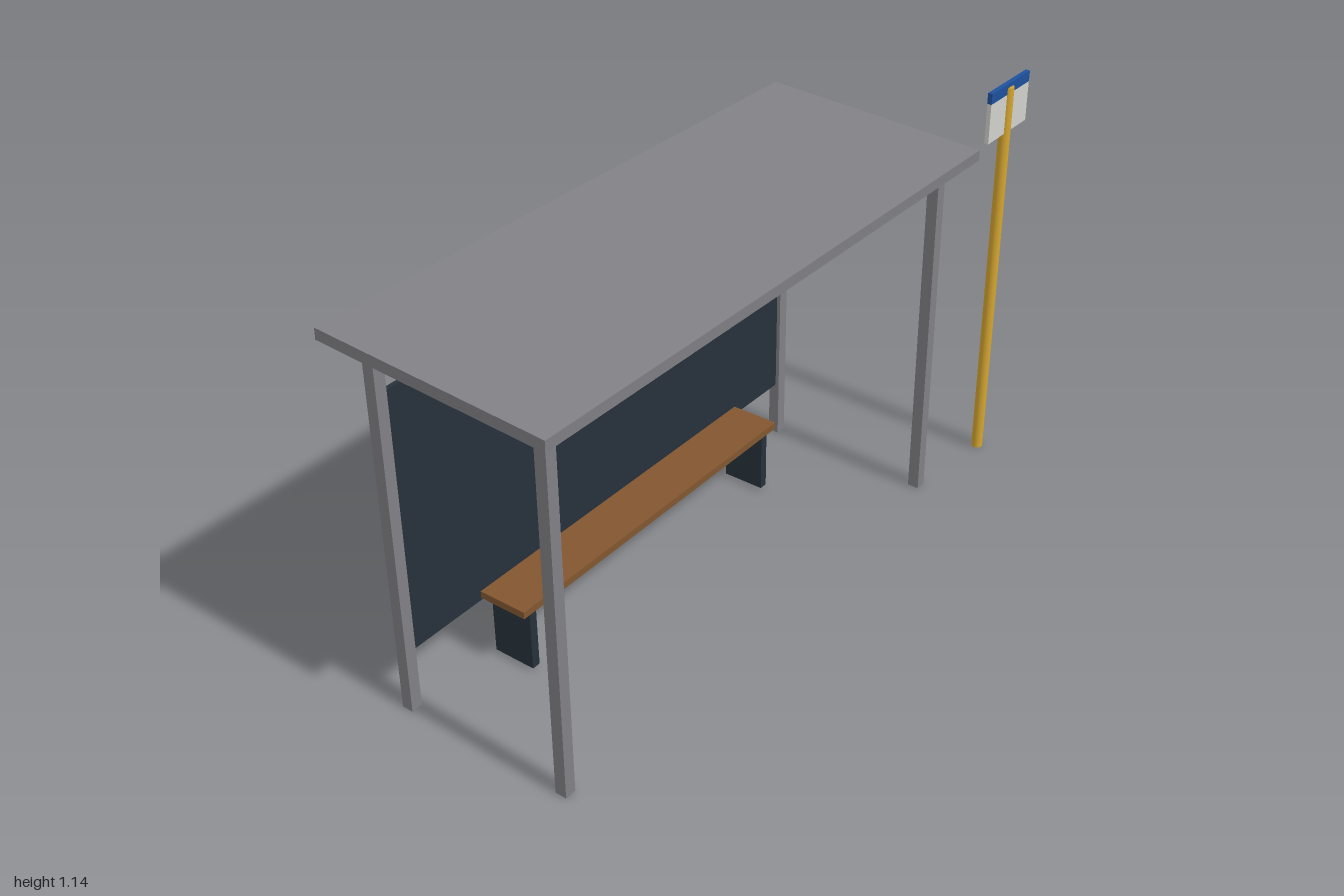
import * as THREE from 'three';

const material = (name, color) => {
  const m = new THREE.MeshStandardMaterial({ color });
  m.name = name;
  return m;
};

export function createModel() {
  const steel = material('steel grey', 0x808085);
  const dark = material('dark slate', 0x26313a);
  const wood = material('bench wood', 0x825630);
  const yellow = material('pole yellow', 0xd4a530);
  const white = material('sign white', 0xd0d0cc);
  const blue = material('sign blue', 0x1d519e);

  const model = new THREE.Group();
  model.name = 'busShelter';

  const add = (parent, name, geometry, mat, x, y, z) => {
    const mesh = new THREE.Mesh(geometry, mat);
    mesh.name = name;
    mesh.position.set(x, y, z);
    parent.add(mesh);
    return mesh;
  };
  const box = (parent, name, mat, w, h, d, x, y, z) =>
    add(parent, name, new THREE.BoxGeometry(w, h, d), mat, x, y, z);

  // Shelter: everything is symmetric about its own centre line
  const shelter = new THREE.Group();
  shelter.name = 'shelter';
  shelter.position.x = -0.153;
  model.add(shelter);

  // Roof tilted up towards the back
  const roof = box(shelter, 'roof', steel, 1.694, 0.03, 0.645, 0, 1.034, 0);
  roof.rotation.x = 0.05;

  // Four square posts
  for (const side of [-1, 1]) {
    box(shelter, 'frontPost', steel, 0.032, 1.004, 0.032, side * 0.767, 0.502, 0.246);
    box(shelter, 'backPost', steel, 0.032, 1.012, 0.032, side * 0.767, 0.506, -0.242);
  }

  // Back wall panel between the rear posts
  box(shelter, 'backPanel', dark, 1.5, 0.725, 0.012, 0, 0.528, -0.242);

  // Bench with two slab legs
  const bench = new THREE.Group();
  bench.name = 'bench';
  shelter.add(bench);
  box(bench, 'benchSeat', wood, 1.053, 0.02, 0.141, 0, 0.197, -0.152);
  for (const side of [-1, 1]) {
    box(bench, 'benchLeg', dark, 0.024, 0.178, 0.123, side * 0.486, 0.098, -0.152);
  }

  // Stop sign pole with its two-tone plate
  const sign = new THREE.Group();
  sign.name = 'stopSign';
  sign.position.set(0.896, 0, 0.285);
  model.add(sign);
  add(sign, 'signPole', new THREE.CylinderGeometry(0.016, 0.016, 1.133, 16), yellow, 0, 0.5665, 0);
  box(sign, 'signPlate', white, 0.203, 0.112, 0.012, 0.0025, 1.059, 0);
  box(sign, 'signHeader', blue, 0.203, 0.03, 0.013, 0.0025, 1.13, 0);

  return model;
}
